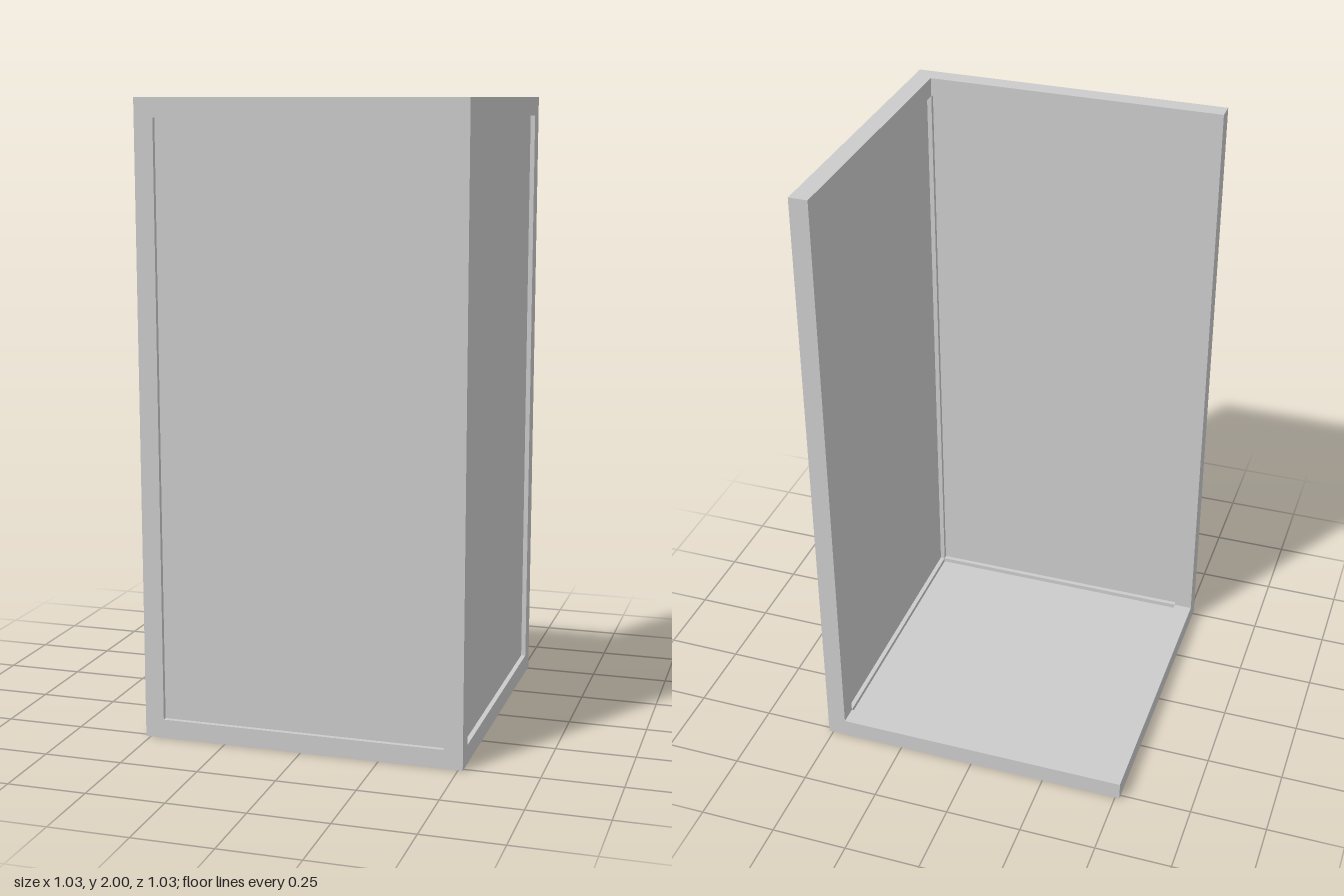
import * as THREE from 'three';

const H = 0.515;      // half of the overall width
const T = 0.0606;     // thickness of walls and floor, width of the raised frames
const I = H - T;      // inner edge of the frames
const D = 0.015;      // how far the panels sit back from the frames
const TOP = 2;
const DRAIN_Y = 0.012;

const material = new THREE.MeshStandardMaterial({ color: 0xcccccc, flatShading: true });

function addMesh(parent, name, geometry) {
  const mesh = new THREE.Mesh(geometry, material);
  mesh.name = name;
  parent.add(mesh);
  return mesh;
}

const toVectors = (points) => points.map(([a, b]) => new THREE.Vector2(a, b));

// Box given by its lowest and highest corners
function boxBetween([x0, y0, z0], [x1, y1, z1]) {
  return new THREE.BoxGeometry(x1 - x0, y1 - y0, z1 - z0)
    .translate((x0 + x1) / 2, (y0 + y1) / 2, (z0 + z1) / 2);
}

// Horizontal slab from an outline in x and z, with an optional hole
function slab(outline, y0, y1, hole) {
  const flip = (points) => toVectors(points.map(([x, z]) => [x, -z]));
  const shape = new THREE.Shape(flip(outline));
  if (hole) shape.holes.push(new THREE.Path(flip(hole)));
  return new THREE.ExtrudeGeometry(shape, { depth: y1 - y0, bevelEnabled: false })
    .rotateX(-Math.PI / 2).translate(0, y0, 0);
}

const rect = (x0, z0, x1, z1) => [[x0, z0], [x1, z0], [x1, z1], [x0, z1]];

// Framed wall, open towards the corner post; side mirrors it along its length
function makeWall(name, side) {
  const wall = new THREE.Group();
  wall.name = name;
  const outline = [
    [-H, 0], [I, 0], [I, T], [-I, T], [-I, TOP - T], [I, TOP - T], [I, TOP], [-H, TOP],
  ].map(([u, y]) => [side * u, y]);
  const frame = new THREE.ExtrudeGeometry(new THREE.Shape(toVectors(outline)), { depth: T, bevelEnabled: false });
  addMesh(wall, name + 'Frame', frame.translate(0, 0, I));
  addMesh(wall, name + 'Panel', boxBetween([-I, T, I + D], [I, TOP - T, H - D]));
  return wall;
}

export function createModel() {
  const model = new THREE.Group();
  model.name = 'cornerCubicle';

  // Two walls meeting at a corner post
  const sideWall = makeWall('sideWall', -1);
  sideWall.rotation.y = Math.PI / 2;
  model.add(makeWall('frontWall', 1), sideWall);
  addMesh(model, 'cornerPost', boxBetween([I, 0, I], [H, TOP, H]));

  // Floor tray with a raised rim on the open sides and a square drain
  const floor = new THREE.Group();
  floor.name = 'floor';
  addMesh(floor, 'floorRim', slab([[-H, -H], [I, -H], [I, -I], [-I, -I], [-I, I], [-H, I]], 0, T));
  addMesh(floor, 'floorTray', slab(rect(-I, -I, I, I), DRAIN_Y, T - D, rect(-0.35, -0.365, -0.225, -0.24)));
  addMesh(floor, 'floorBase', slab(rect(-I, -I, I, I), 0, DRAIN_Y));
  model.add(floor);

  return model;
}
